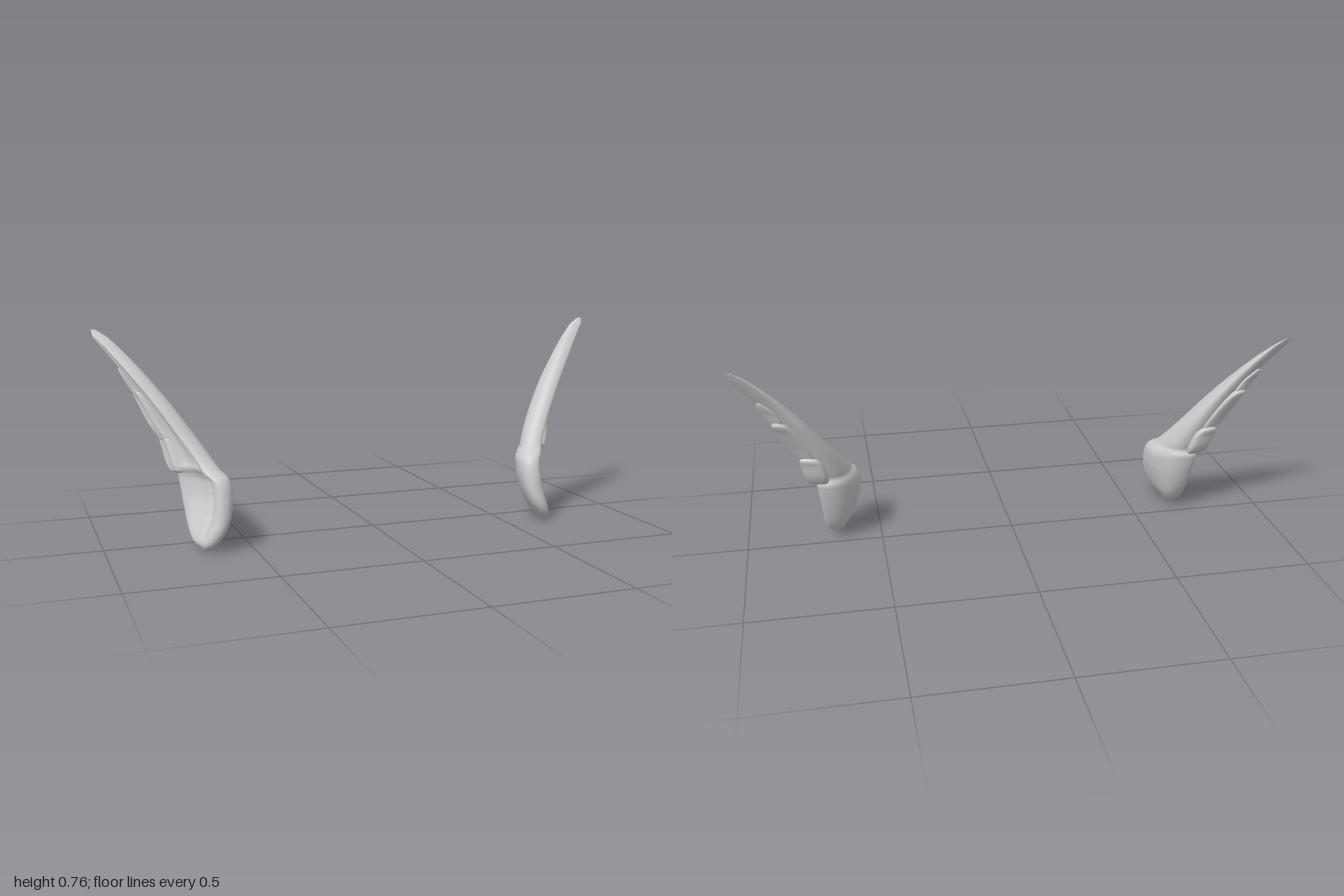
import * as THREE from 'three';

const material = new THREE.MeshStandardMaterial({ color: 0xcccccc });
const { smoothstep } = THREE.MathUtils;

// Rows: height, front edge z, x, rear edge z, x, thickness, inward bow, hollow depth
const BLADE = [
  [0, .118, .665, .108, .667, .008, 0, 0],
  [.008, .145, .66, .08, .67, .022, 0, 0],
  [.03, .17, .648, .046, .677, .045, .002, .002],
  [.07, .182, .628, .017, .683, .062, .012, .016],
  [.12, .179, .612, -.006, .69, .068, .022, .03],
  [.18, .17, .607, -.026, .698, .07, .034, .036],
  [.23, .157, .61, -.038, .705, .07, .038, .034],
  [.254, .143, .618, -.041, .707, .07, .032, .03],
  [.275, .112, .636, -.032, .707, .068, .024, .026],
  [.3, .09, .652, -.04, .713, .065, .024, .024],
  [.38, .041, .705, -.066, .741, .061, .022, .02],
  [.5, -.02, .782, -.102, .797, .057, .011, .016],
  [.6, -.075, .854, -.131, .863, .053, .006, .012],
  [.68, -.125, .916, -.158, .923, .047, .002, .006],
  [.73, -.16, .96, -.174, .964, .038, 0, .002],
  [.757, -.18, .985, -.182, .986, .012, 0, 0],
];

// Three overlapping lobes stacked up the rear edge
const LOBES = [
  [
    [.256, -.005, .72, -.024, .725, .02, 0, 0],
    [.266, .0, .715, -.045, .728, .05, .004, 0],
    [.3, -.01, .722, -.065, .736, .06, .004, .004],
    [.35, -.028, .735, -.077, .748, .058, .004, .004],
    [.374, -.038, .748, -.082, .757, .046, .003, 0],
    [.385, -.047, .757, -.074, .763, .018, 0, 0],
  ],
  [
    [.362, -.042, .75, -.062, .757, .018, 0, 0],
    [.375, -.04, .75, -.07, .763, .04, .003, 0],
    [.43, -.058, .778, -.088, .793, .05, .003, .004],
    [.5, -.078, .816, -.114, .828, .044, .003, .004],
    [.535, -.09, .838, -.128, .848, .034, .002, 0],
    [.546, -.102, .85, -.124, .853, .014, 0, 0],
  ],
  [
    [.525, -.09, .838, -.11, .845, .014, 0, 0],
    [.54, -.095, .84, -.119, .852, .03, 0, 0],
    [.58, -.11, .866, -.13, .874, .034, .002, .002],
    [.61, -.122, .888, -.14, .892, .026, 0, 0],
    [.63, -.135, .902, -.144, .904, .01, 0, 0],
  ],
];

// Closed skin over horizontal cross-sections: thicker towards a slanted rear edge,
// with a hollow in the outer face
function loft(rows, side, steps, n = 22) {
  const curve = (f) => new THREE.CatmullRomCurve3(rows.map((r) => new THREE.Vector3(...f(r))));
  const front = curve((r) => [r[2], r[0], r[1]]);
  const rear = curve((r) => [r[4], r[0], r[3]]);
  const form = curve((r) => [r[5], r[6], r[7]]);
  const ring = 2 * n, pos = [], idx = [];
  const tri = (a, b, c) => (side > 0 ? idx.push(a, b, c) : idx.push(a, c, b));

  for (let i = 0; i <= steps; i++) {
    const u = i / steps;
    const a = front.getPoint(u), b = rear.getPoint(u), f = form.getPoint(u);
    for (let j = 0; j < ring; j++) {
      const s = (1 - Math.cos((j / n) * Math.PI)) / 2;
      const round = Math.sqrt(Math.max(0, 1 - Math.abs(2 * s - 1) ** 6));
      const half = (f.x / 2) * (1 + 0.45 * s) * round * (j <= n ? 1 : -1);
      const ridge = 1 - 0.3 * Math.exp(-(((s - 0.56) / 0.09) ** 2));
      const hollow = j <= n ? f.z * ridge * smoothstep(s, .1, .45) * smoothstep(1 - s, .06, .4) : 0;
      const p = a.clone().lerp(b, s);
      p.x += half - hollow - f.y * 4 * s * (1 - s);
      p.z += 0.25 * s * half;
      pos.push(side * p.x, Math.max(0, p.y), p.z);
    }
  }
  for (let i = 0; i < steps; i++) {
    for (let j = 0; j < ring; j++) {
      const k = (j + 1) % ring, o = i * ring;
      tri(o + j, o + k, o + ring + k);
      tri(o + j, o + ring + k, o + ring + j);
    }
  }
  // End caps
  const top = steps * ring;
  for (let j = 1; j < ring - 1; j++) {
    tri(0, j + 1, j);
    tri(top, top + j, top + j + 1);
  }
  const geometry = new THREE.BufferGeometry();
  geometry.setAttribute('position', new THREE.Float32BufferAttribute(pos, 3));
  geometry.setIndex(idx);
  geometry.computeVertexNormals();
  return geometry;
}

function createFin(side) {
  const fin = new THREE.Group();
  fin.name = side > 0 ? 'leftFin' : 'rightFin';
  const add = (name, geometry) => {
    const mesh = new THREE.Mesh(geometry, material);
    mesh.name = name;
    fin.add(mesh);
  };
  add('cupAndBlade', loft(BLADE, side, 120));
  LOBES.forEach((rows, i) => add(`rearLobe${i + 1}`, loft(rows, side, 36)));
  return fin;
}

export function createModel() {
  const model = new THREE.Group();
  model.name = 'finPair';
  model.add(createFin(1), createFin(-1));
  return model;
}
